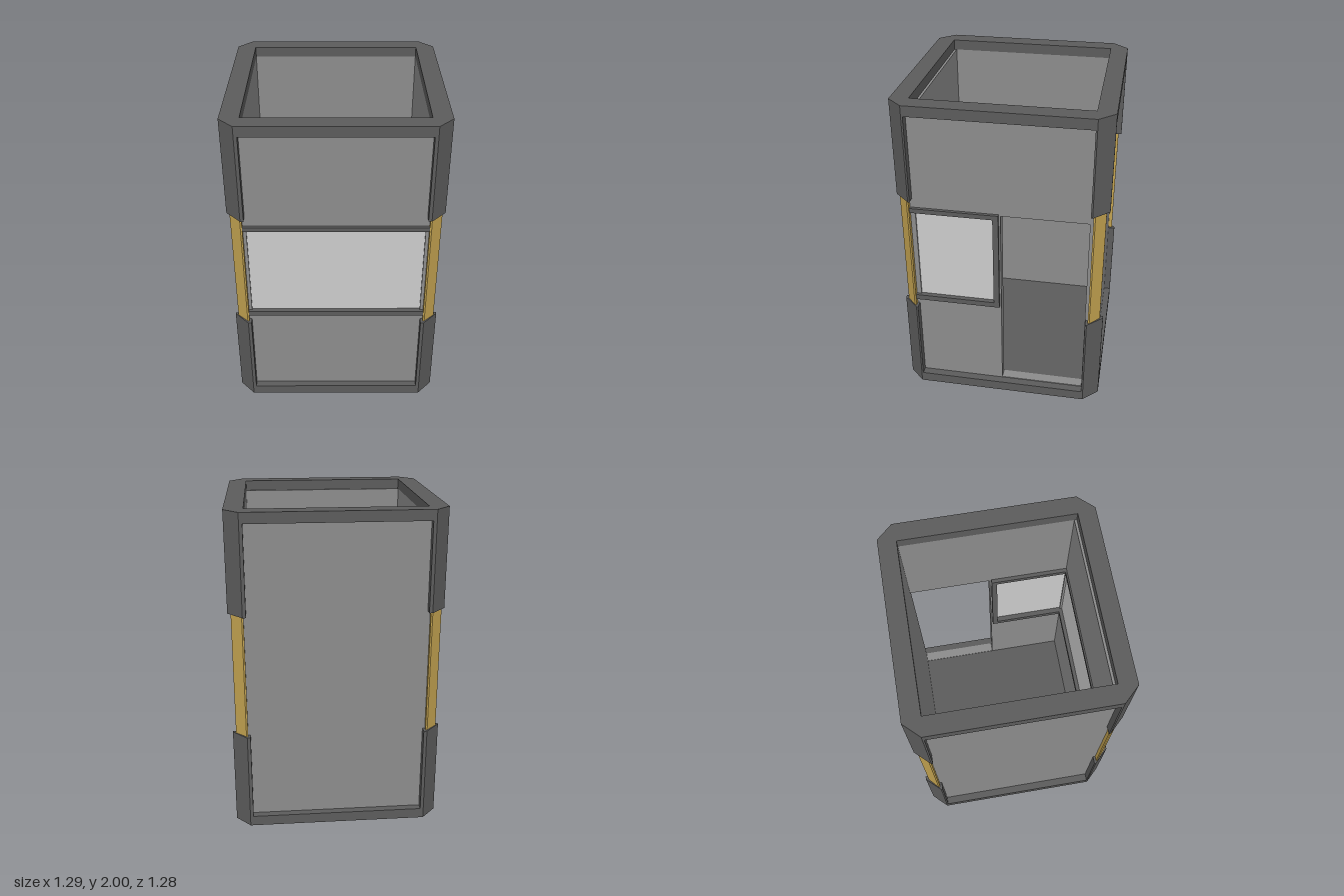
import * as THREE from 'three';

const material = (color) => new THREE.MeshStandardMaterial({ color, flatShading: true });

export function createModel() {
  const model = new THREE.Group();
  model.name = 'booth';
  const frameMat = material(0x5c5c5c);
  const wallMat = material(0x8c8c8c);
  const paneMat = material(0xcccccc);
  const goldMat = material(0xc2a250);

  const add = (name, geometry, mat) => {
    const mesh = new THREE.Mesh(geometry, mat);
    mesh.name = name;
    model.add(mesh);
    return mesh;
  };
  // Box given by its lower and upper bounds on each axis
  const box = (name, [x0, x1], [y0, y1], [z0, z1], mat) =>
    add(name, new THREE.BoxGeometry(x1 - x0, y1 - y0, z1 - z0), mat)
      .position.set((x0 + x1) / 2, (y0 + y1) / 2, (z0 + z1) / 2);
  const polygon = (points) => new THREE.Shape(points.map(([x, y]) => new THREE.Vector2(x, y)));
  const rect = (x0, x1, y0, y1) => polygon([[x0, y0], [x1, y0], [x1, y1], [x0, y1]]);
  const extrude = (shape, depth) => new THREE.ExtrudeGeometry(shape, { depth, bevelEnabled: false });
  // Plan outline raised from y0 to y1
  const prism = (name, shape, y0, y1, mat) =>
    add(name, extrude(shape, y1 - y0).rotateX(-Math.PI / 2).translate(0, y0, 0), mat);

  // Chamfered base slab and open top ring
  const outline = () => polygon([
    [-0.555, -0.64], [0.555, -0.64], [0.645, -0.545], [0.645, 0.545],
    [0.555, 0.64], [-0.555, 0.64], [-0.645, 0.545], [-0.645, -0.545],
  ]);
  prism('base', outline(), 0, 0.065, frameMat);
  const ring = outline();
  ring.holes.push(rect(-0.53, 0.53, -0.53, 0.53));
  prism('topRing', ring, 1.935, 2, frameMat);

  // Corner posts: dark sleeves above and below a slimmer gold column
  const sleeve = [[0.535, 0.535], [0.645, 0.535], [0.645, 0.545], [0.555, 0.64], [0.535, 0.64]];
  const column = [[0.55, 0.55], [0.625, 0.55], [0.625, 0.56], [0.56, 0.62], [0.55, 0.62]];
  for (const sx of [-1, 1]) {
    for (const sz of [-1, 1]) {
      const corner = (points) => polygon(points.map(([x, z]) => [x * sx, z * sz]));
      prism('lowerSleeve', corner(sleeve), 0.065, 0.62, frameMat);
      prism('cornerColumn', corner(column), 0.62, 1.39, goldMat);
      prism('upperSleeve', corner(sleeve), 1.39, 1.935, frameMat);
    }
  }

  // Plain back and left walls
  const height = [0.065, 1.935];
  box('backWall', [-0.56, 0.56], height, [-0.595, -0.53], wallMat);
  box('leftOuterWall', [-0.595, -0.53], height, [-0.56, 0.56], wallMat);

  // Front wall with a wide window
  const front = rect(-0.56, 0.56, ...height);
  front.holes.push(rect(-0.53, 0.53, 0.68, 1.32));
  add('frontWall', extrude(front, 0.08).translate(0, 0, 0.515), wallMat);
  box('frontPane', [-0.53, 0.53], [0.68, 1.32], [0.53, 0.585], paneMat);

  // Side wall with a doorway towards the back and a window towards the front
  const side = polygon([
    [-0.56, 0.065], [0, 0.065], [0, 1.32], [0.53, 1.32],
    [0.53, 0.065], [0.56, 0.065], [0.56, 1.935], [-0.56, 1.935],
  ]);
  side.holes.push(rect(-0.52, -0.03, 0.68, 1.32));
  add('doorWall', extrude(side, 0.065).rotateY(Math.PI / 2).translate(0.53, 0, 0), wallMat);
  box('sidePane', [0.54, 0.585], [0.68, 1.32], [0.03, 0.52], paneMat);
  box('doorSill', [0.53, 0.595], [0.06, 0.07], [-0.53, 0], wallMat);

  // Window rails and the upright beside the door
  for (const y of [[0.66, 0.695], [1.3, 1.33]]) {
    box('frontWindowRail', [-0.555, 0.555], y, [0.505, 0.615], frameMat);
    box('sideWindowRail', [0.505, 0.615], y, [0.01, 0.555], frameMat);
  }
  box('sideWindowUpright', [0.505, 0.615], [0.695, 1.3], [0.01, 0.045], frameMat);

  return model;
}
